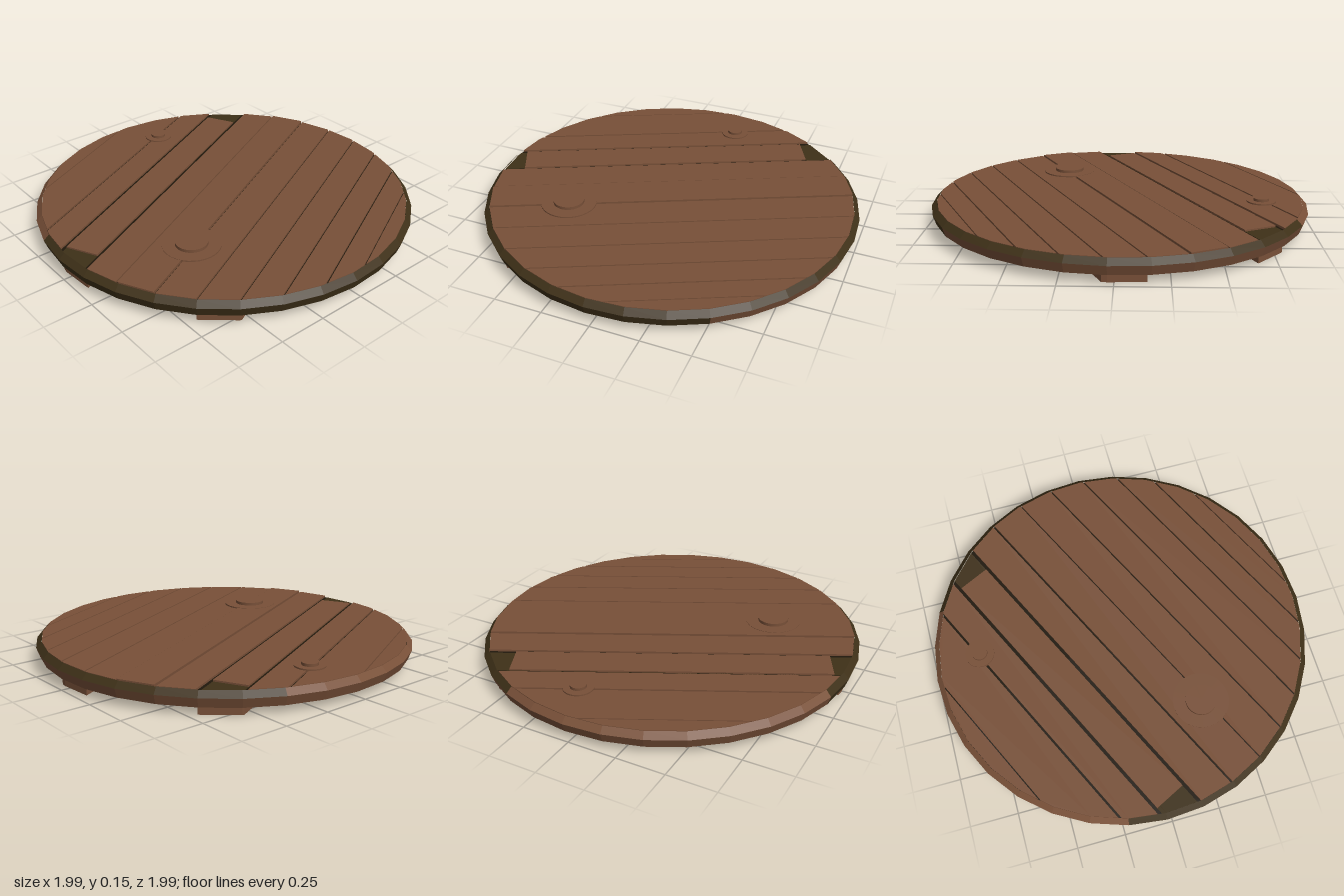
import * as THREE from 'three';

const SIDES = 32, OFFSET = THREE.MathUtils.degToRad(5.1);
const mat = (name, color) => {
  const m = new THREE.MeshStandardMaterial({ color });
  m.name = name;
  return m;
};
const angle = (i) => OFFSET + (i * Math.PI * 2) / SIDES;

// Outline of the lid at a given radius, as [across, along] points
const ring = (r) => Array.from({ length: SIDES }, (_, i) => [r * Math.cos(angle(i)), r * Math.sin(angle(i))]);

// Keep the part of a polygon where sign * p[axis] <= limit
function clip(points, axis, sign, limit) {
  const out = [];
  points.forEach((p, i) => {
    const q = points[(i + 1) % points.length];
    const dp = sign * p[axis] - limit, dq = sign * q[axis] - limit;
    if (dp <= 0) out.push(p);
    if (dp * dq < 0) {
      const t = dp / (dp - dq);
      out.push([p[0] + (q[0] - p[0]) * t, p[1] + (q[1] - p[1]) * t]);
    }
  });
  return out;
}
const strip = (r, a, b) => clip(clip(ring(r), 0, 1, b), 0, -1, -a);

export function createModel() {
  const wood = mat('brown wood', 0x785038);
  const olive = mat('dark olive wood', 0x3e3018);
  const dark = mat('dark seam', 0x20180c);

  const model = new THREE.Group();
  model.name = 'roundWoodenLid';
  const tilted = new THREE.Group();
  tilted.name = 'lid';
  tilted.rotation.set(-0.003, 0, 0.008);
  model.add(tilted);
  const boards = new THREE.Group();
  boards.name = 'boards';
  boards.rotation.y = 0.4516;
  tilted.add(boards);

  const add = (parent, name, geometry, material) => {
    const mesh = new THREE.Mesh(geometry, material);
    mesh.name = name;
    parent.add(mesh);
    return mesh;
  };
  // Flat slab from a polygon, between two heights
  const slab = (name, points, y0, y1, material) => {
    const shape = new THREE.Shape(points.map(([u, v]) => new THREE.Vector2(u, -v)));
    const g = new THREE.ExtrudeGeometry(shape, { depth: y1 - y0, bevelEnabled: false });
    g.rotateX(-Math.PI / 2).translate(0, y0, 0);
    return add(boards, name, g, material);
  };
  // Faceted rim band made of the chosen sides
  const band = (name, r0, y0, r1, y1, keep, material) => {
    const pos = [];
    for (let i = 0; i < SIDES; i++) {
      if (!keep(i)) continue;
      const at = (k, r, y) => [r * Math.cos(angle(k)), y, r * Math.sin(angle(k))];
      const a = at(i, r0, y0), b = at(i, r1, y1), c = at(i + 1, r1, y1), d = at(i + 1, r0, y0);
      pos.push(...a, ...b, ...c, ...a, ...c, ...d);
    }
    const g = new THREE.BufferGeometry();
    g.setAttribute('position', new THREE.Float32BufferAttribute(pos, 3));
    g.computeVertexNormals();
    add(boards, name, g, material);
  };

  // Core: underside and the dark layer seen through the seams
  slab('underside', ring(0.98), 0.047, 0.05, wood);
  slab('seamLayer', ring(0.968), 0.11, 0.116, dark);

  // Rim: lower wall and upper bevel, each in two tones
  const lowerOlive = (i) => i <= 10 || i === SIDES - 1;
  const upperWood = (i) => Math.cos(angle(i + 0.5)) < -0.64;
  band('lowerRimDark', 0.98, 0.047, 0.997, 0.095, lowerOlive, olive);
  band('lowerRim', 0.98, 0.047, 0.997, 0.095, (i) => !lowerOlive(i), wood);
  band('upperRimDark', 0.997, 0.095, 0.968, 0.124, (i) => !upperWood(i), olive);
  band('upperRim', 0.997, 0.095, 0.968, 0.124, upperWood, wood);

  // Top planks, split by seams; the short one leaves dark ends
  const seams = [-1, -0.88, -0.637, -0.475, -0.285, -0.098, 0.098, 0.288, 0.467, 0.628, 0.773, 0.89, 1];
  const gaps = [0, 0.003, 0.006, 0.009, 0.009, 0.005, 0.004, 0.004, 0.004, 0.004, 0.004, 0.003, 0];
  for (let i = 0; i < seams.length - 1; i++) {
    const a = seams[i] + gaps[i], b = seams[i + 1] - gaps[i + 1];
    let points = strip(0.967, a, b);
    if (i === 3) {
      slab('shortPlankEnds', points, 0.115, 0.118, olive);
      points = clip(clip(points, 1, 1, 0.81), 1, -1, 0.785);
    }
    slab('plank', points, 0.115, i === 5 ? 0.131 : 0.126, wood);
  }

  // Two battens under the lid
  for (const u of [-0.377, 0.377]) slab('batten', strip(0.965, u - 0.093, u + 0.093), 0.008, 0.048, wood);

  // Round pegs on low washers
  const peg = (name, x, z, r, washer, top) => {
    const disc = (part, radius, y0, y1) =>
      add(tilted, name + part, new THREE.CylinderGeometry(radius, radius, y1 - y0, 32), wood)
        .position.set(x, (y0 + y1) / 2, z);
    disc('Washer', washer, 0.115, 0.133);
    disc('Peg', r, 0.115, top);
  };
  peg('large', 0.31, 0.46, 0.081, 0.146, 0.149);
  peg('small', -0.745, -0.105, 0.041, 0.077, 0.147);

  return model;
}
